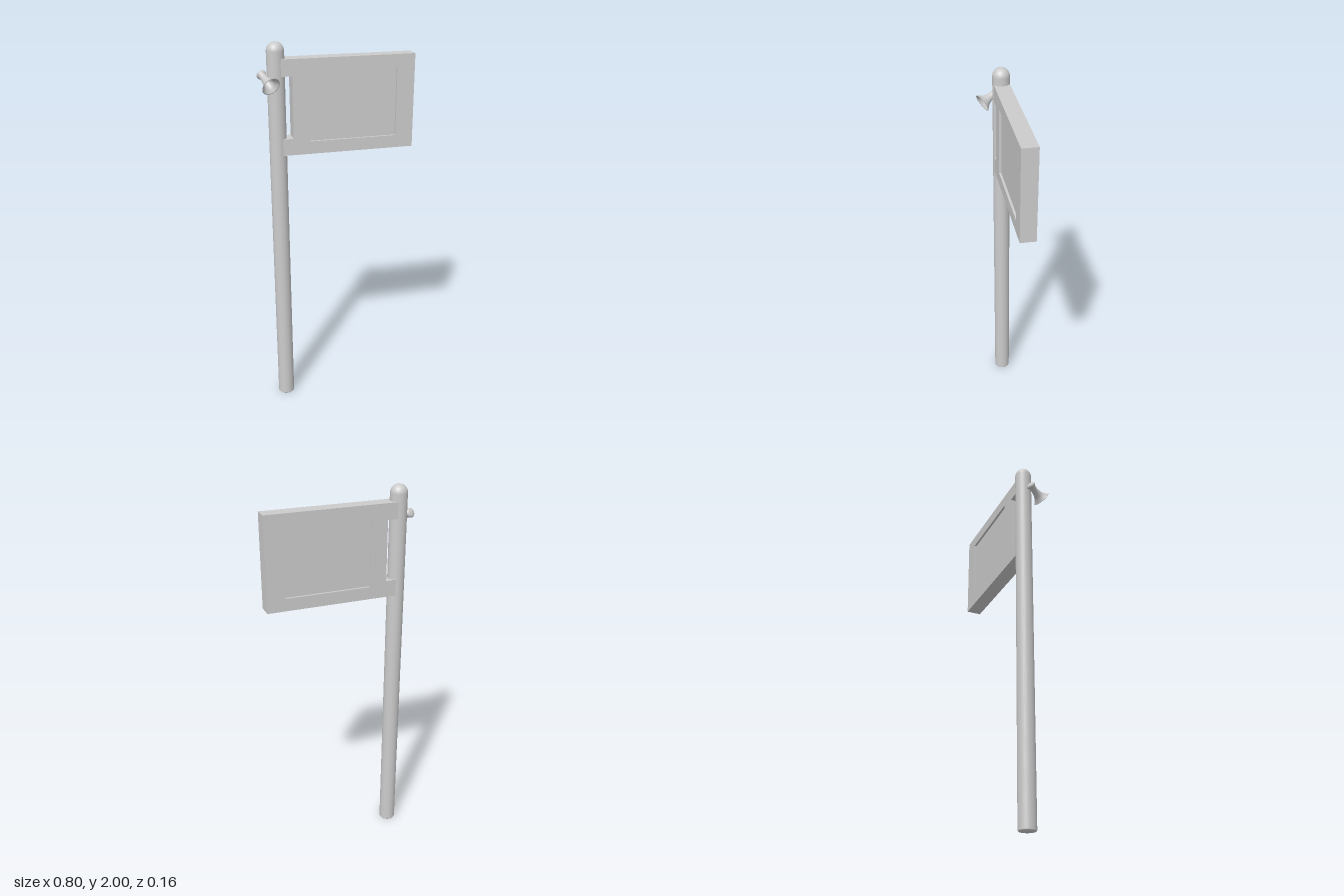
import * as THREE from 'three';

const material = new THREE.MeshStandardMaterial({ color: 0xcccccc });
const hornMaterial = new THREE.MeshStandardMaterial({ color: 0xcccccc, side: THREE.DoubleSide });

const POLE_X = -0.303, MID_Z = -0.036, POLE_R = 0.044;

function addMesh(parent, name, geometry, mat = material) {
  const mesh = new THREE.Mesh(geometry, mat);
  mesh.name = name;
  parent.add(mesh);
  return mesh;
}

const vec2 = ([x, y]) => new THREE.Vector2(x, y);

// Straight round post with a domed top and a slightly eased foot
function poleGeometry() {
  const points = [[0, 0], [POLE_R - 0.004, 0], [POLE_R, 0.005]].map(vec2);
  for (let i = 0; i <= 12; i++) {
    const a = (i / 12) * Math.PI / 2;
    points.push(new THREE.Vector2(POLE_R * Math.cos(a), 2 - POLE_R + POLE_R * Math.sin(a)));
  }
  return new THREE.LatheGeometry(points, 40);
}

// Thick board with two arms to the pole and a window for the panel
function boardGeometry(depth) {
  const outline = new THREE.Shape([
    [-0.29, 1.44], [0.4, 1.44], [0.4, 1.92], [-0.29, 1.92],
    [-0.29, 1.837], [-0.23, 1.837], [-0.23, 1.525], [-0.29, 1.525],
  ].map(vec2));
  outline.holes.push(new THREE.Path(
    [[-0.143, 1.505], [-0.143, 1.858], [0.307, 1.858], [0.307, 1.505]].map(vec2)));
  const geometry = new THREE.ExtrudeGeometry(outline, { depth, bevelEnabled: false });
  return geometry.translate(0, 0, MID_Z - depth / 2);
}

// Flared horn along +y: rounded rear cap, neck, bell, then back down inside
function hornGeometry() {
  const cap = [[0, -0.01], [0.016, -0.009], [0.023, -0.004], [0.025, 0.002],
    [0.023, 0.008], [0.019, 0.013]].map(vec2);
  const bell = new THREE.SplineCurve(
    [[0.019, 0.013], [0.018, 0.03], [0.021, 0.052], [0.029, 0.074], [0.041, 0.09], [0.048, 0.097]].map(vec2));
  const outer = bell.getPoints(20);
  const inner = outer.slice(5).reverse().map(p => new THREE.Vector2(p.x - 0.003, p.y + 0.001));
  return new THREE.LatheGeometry(
    [...cap, ...outer.slice(1), ...inner, new THREE.Vector2(0, inner[inner.length - 1].y)], 36);
}

export function createModel() {
  const model = new THREE.Group();
  model.name = 'signPost';

  addMesh(model, 'pole', poleGeometry()).position.set(POLE_X, 0, MID_Z);

  // Sign board with a panel recessed on both faces
  const sign = new THREE.Group();
  sign.name = 'sign';
  model.add(sign);
  addMesh(sign, 'boardFrame', boardGeometry(0.08));
  addMesh(sign, 'recessedPanel', new THREE.BoxGeometry(0.45, 0.353, 0.056))
    .position.set(0.082, 1.6815, MID_Z);

  // Loudspeaker, tilted forward and down beside the pole
  const speaker = new THREE.Group();
  speaker.name = 'loudspeaker';
  addMesh(speaker, 'horn', hornGeometry(), hornMaterial);
  addMesh(speaker, 'hornPlug', new THREE.SphereGeometry(0.009, 16, 12)).position.y = 0.045;
  speaker.position.set(-0.376, 1.848, -0.026);
  const aim = new THREE.Vector3(0.034, -0.046, 0.083).normalize();
  speaker.quaternion.setFromUnitVectors(new THREE.Vector3(0, 1, 0), aim);
  model.add(speaker);

  return model;
}
